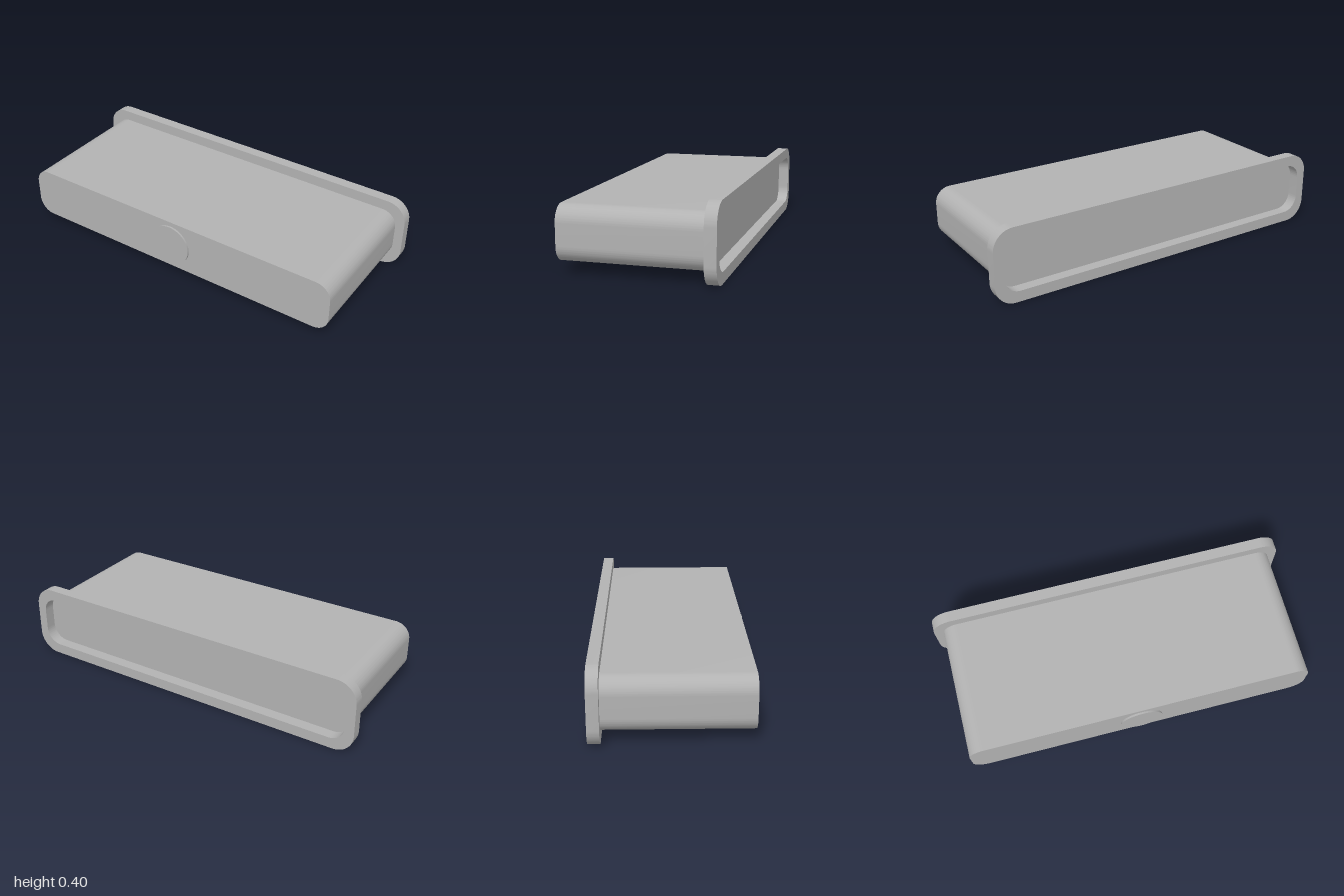
import * as THREE from 'three';
import { toCreasedNormals } from 'three/addons/utils/BufferGeometryUtils.js';

// Rounded rectangle outline centred on the origin
function roundedRect(target, w, h, r) {
  const x = w / 2, y = h / 2;
  target.moveTo(-x + r, -y);
  target.lineTo(x - r, -y);
  target.absarc(x - r, -y + r, r, -Math.PI / 2, 0, false);
  target.lineTo(x, y - r);
  target.absarc(x - r, y - r, r, 0, Math.PI / 2, false);
  target.lineTo(-x + r, y);
  target.absarc(-x + r, y - r, r, Math.PI / 2, Math.PI, false);
  target.lineTo(-x, -y + r);
  target.absarc(-x + r, -y + r, r, Math.PI, Math.PI * 1.5, false);
  return target;
}

export function createModel() {
  const group = new THREE.Group();
  const grey = new THREE.MeshStandardMaterial({ color: 0xb2b2b2 });
  grey.name = 'plain grey';

  const centreY = 0.2;
  const bodyW = 1.9, bodyH = 0.284, bodyR = 0.085;
  const backZ = -0.405, flangeZ = -0.345, frontZ = 0.395;

  // Extrude a shape between two z planes, with smooth corners and sharp edges
  function addExtrusion(name, shape, z0, z1) {
    const geometry = new THREE.ExtrudeGeometry(shape, {
      depth: z1 - z0, bevelEnabled: false, curveSegments: 12,
    });
    const mesh = new THREE.Mesh(toCreasedNormals(geometry, 0.6), grey);
    mesh.name = name;
    mesh.position.set(0, centreY, z0);
    group.add(mesh);
  }

  // Main body: a long rounded block
  addExtrusion('body', roundedRect(new THREE.Shape(), bodyW, bodyH, bodyR), flangeZ, frontZ);

  // Rear flange: a wider ring that leaves a shallow recess behind the body
  const flange = roundedRect(new THREE.Shape(), 2, 0.4, 0.11);
  flange.holes.push(roundedRect(new THREE.Path(), bodyW, bodyH, bodyR));
  addExtrusion('rearFlange', flange, backZ, flangeZ);

  // Low round button on the front face
  const button = new THREE.Mesh(new THREE.CylinderGeometry(0.116, 0.116, 0.01, 48), grey);
  button.name = 'frontButton';
  button.rotation.x = Math.PI / 2;
  button.position.set(0, centreY, frontZ + 0.005);
  group.add(button);

  return group;
}
